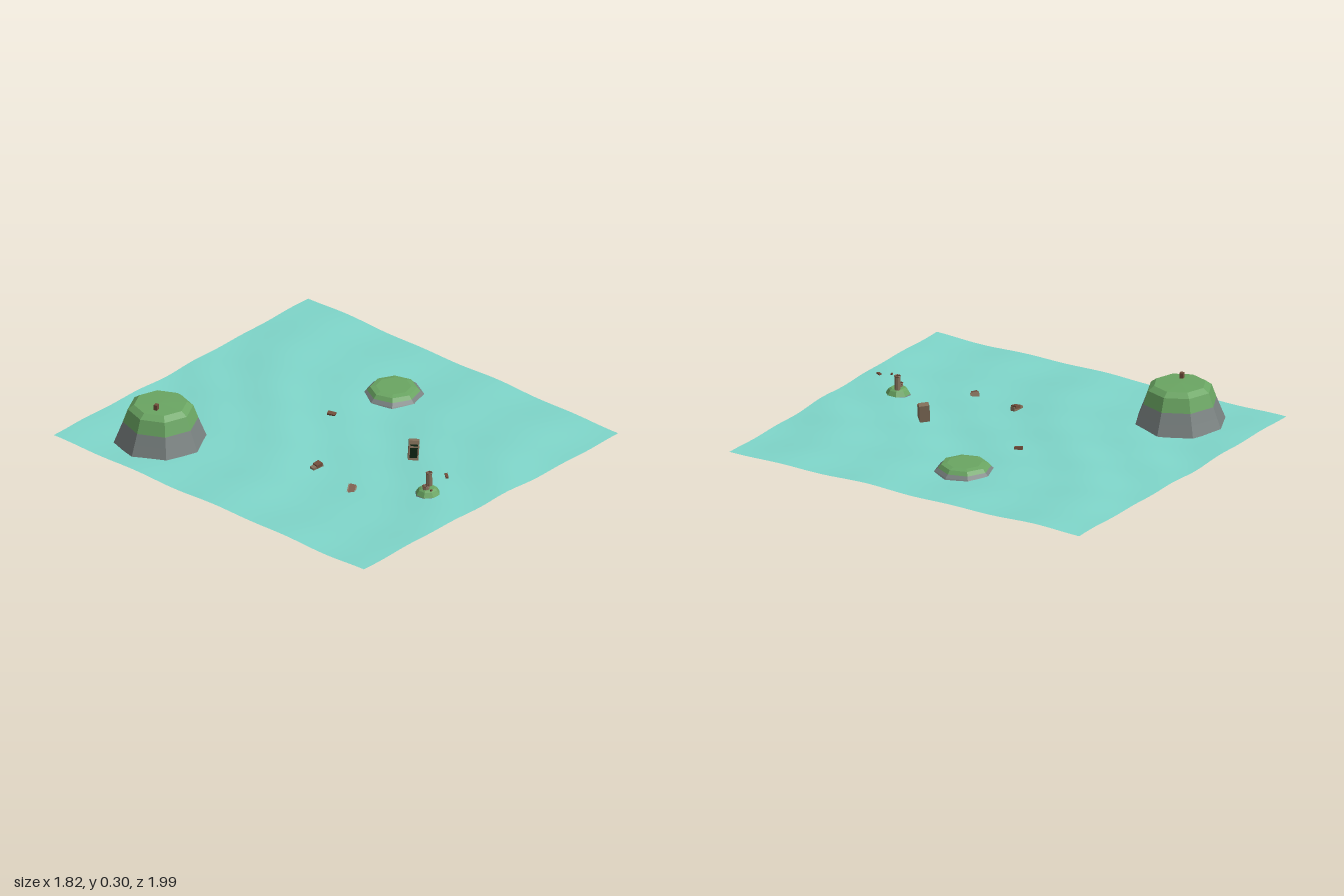
import * as THREE from 'three';

const mat = (name, color, extra = {}) => {
  const m = new THREE.MeshStandardMaterial({ color, ...extra });
  m.name = name;
  return m;
};

export function createModel() {
  const root = new THREE.Group();
  root.name = 'islandSea';
  const flat = { flatShading: true };
  const water = mat('water', 0x7fd6ca, { side: THREE.DoubleSide });
  const grass = mat('grass', 0x6aa562, flat);
  const rock = mat('rock', 0x78807f, flat);
  const wood = mat('wood', 0x83705a, { flatShading: true, side: THREE.DoubleSide });
  const redWood = mat('redWood', 0x714d3a, flat);
  const hollow = mat('darkHollow', 0x0a2010, flat);

  const add = (parent, name, geo, material, pos = [0, 0, 0], rot = [0, 0, 0]) => {
    const m = new THREE.Mesh(geo, material);
    m.name = name;
    m.position.set(...pos);
    m.rotation.set(...rot);
    parent.add(m);
    return m;
  };
  const group = (name, pos, rot = [0, 0, 0]) => {
    const g = new THREE.Group();
    g.name = name;
    g.position.set(...pos);
    g.rotation.set(...rot);
    root.add(g);
    return g;
  };

  // Gently rolling sea, with crests running diagonally
  const sea = new THREE.PlaneGeometry(1.82, 1.99, 48, 52).rotateX(-Math.PI / 2);
  const p = sea.attributes.position;
  for (let i = 0; i < p.count; i++) {
    const x = p.getX(i), z = p.getZ(i), d = 0.5 * x + z;
    p.setY(i, 0.064 + 0.006 * Math.sin(5.2 * d + 3.6) * Math.cos(1.5 * x)
      + 0.003 * Math.sin(13 * d + 2 * Math.sin(4 * x)) + 0.002 * Math.sin(17 * x - 7 * z));
  }
  sea.computeVertexNormals();
  add(root, 'sea', sea, water, [0, 0, -0.005]);

  // Eight-sided islands: rock skirt, grass crown and dark underside
  const lathe = (pts) => new THREE.LatheGeometry(pts.map(([r, y]) => new THREE.Vector2(r, y)), 8);
  const island = (name, x, z, turn, skirt, crown) => {
    const g = group(name, [x, 0, z], [0, turn, 0]);
    add(g, 'rockSkirt', lathe(skirt), rock);
    add(g, 'grassCrown', lathe([skirt[skirt.length - 1], ...crown]), grass);
    add(g, 'underside', lathe([[0, skirt[0][1]], skirt[0]]), hollow);
  };
  island('largeIsland', -0.592, -0.6, 0.07,
    [[0.226, 0.058], [0.203, 0.115], [0.182, 0.168]],
    [[0.158, 0.235], [0.128, 0.257], [0, 0.26]]);
  island('lowIsland', 0.49, -0.075, -0.1,
    [[0.165, 0.036], [0.145, 0.062], [0.128, 0.076]],
    [[0.113, 0.094], [0.085, 0.1], [0, 0.1]]);
  island('smallIsland', -0.145, 0.715, 0.39,
    [[0.077, 0.034], [0.06, 0.07]],
    [[0.046, 0.092], [0.034, 0.1], [0, 0.1]]);

  // Hollow stumps on the small island
  const stump = (x, z, r, y0, y1) => {
    const h = y1 - y0;
    const g = group('hollowStump', [x, y0 + h / 2, z]);
    add(g, 'stumpWall', new THREE.CylinderGeometry(r * 0.9, r, h, 8, 1, true), wood);
    add(g, 'stumpRim', new THREE.TorusGeometry(r * 0.9, 0.003, 4, 8), redWood,
      [0, h / 2, 0], [Math.PI / 2, 0, 0]);
  };
  stump(-0.125, 0.705, 0.016, 0.085, 0.167);
  stump(-0.162, 0.718, 0.018, 0.085, 0.115);

  // Scraps drifting beside the stumps
  const box = (a, b, c) => new THREE.BoxGeometry(a, b, c);
  add(root, 'drift', box(0.034, 0.008, 0.014), redWood, [-0.095, 0.17, 0.79], [0, 0.9, 0.15]);
  add(root, 'drift', box(0.01, 0.008, 0.006), redWood, [-0.203, 0.133, 0.788]);

  // Block on top of the large island
  add(root, 'topBlock', box(0.022, 0.028, 0.018), redWood, [-0.653, 0.271, -0.572], [0, 0.2, 0]);

  // Tilted stepped crate with an open dark side
  const crate = group('crate', [0.07, 0.11, 0.43], [0.1, 0.75, -0.25]);
  add(crate, 'crateBody', box(0.058, 0.07, 0.05), wood, [0, -0.008, 0]);
  add(crate, 'crateTop', box(0.034, 0.022, 0.05), wood, [0.012, 0.036, 0]);
  add(crate, 'crateOpening', box(0.004, 0.05, 0.036), hollow, [-0.029, -0.006, 0]);
  add(crate, 'crateOpening', box(0.02, 0.004, 0.036), hollow, [-0.017, 0.027, 0]);

  // Half-sunk hull fragment
  const hull = group('sunkenHull', [-0.362, 0.038, 0.413], [0.25, 0.6, 0.35]);
  add(hull, 'hullBody', box(0.085, 0.048, 0.042), wood);
  add(hull, 'hullPlank', box(0.07, 0.008, 0.03), redWood, [0.006, 0.027, 0]);
  add(hull, 'hullBlock', box(0.03, 0.03, 0.032), wood, [-0.012, -0.026, 0.012]);

  // Floating planks
  const plank = group('floatingPlank', [-0.3, 0.062, 0.14], [0.1, -0.1, 0.15]);
  add(plank, 'plankBase', box(0.062, 0.026, 0.026), wood);
  add(plank, 'plankTop', box(0.035, 0.016, 0.03), redWood, [0.008, 0.012, 0]);
  add(root, 'smallPlank', box(0.022, 0.018, 0.04), redWood, [0.13, 0.066, -0.15], [0.1, 0.4, 0.2]);

  return root;
}
